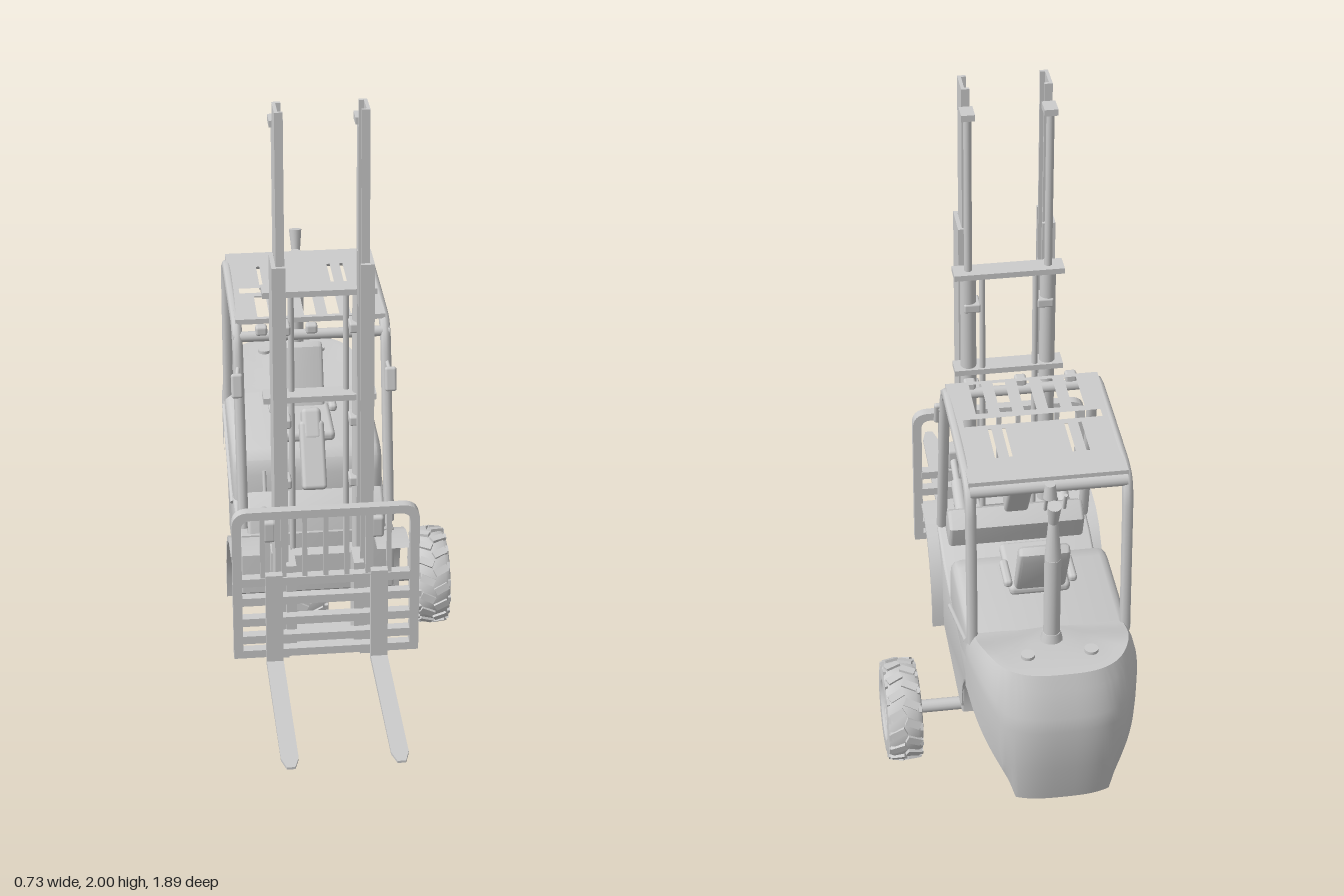
import * as THREE from 'three';
import { toCreasedNormals } from 'three/addons/utils/BufferGeometryUtils.js';
import { RoundedBoxGeometry } from 'three/addons/geometries/RoundedBoxGeometry.js';

const mat = new THREE.MeshStandardMaterial({ color: 0xcccccc });
const matDouble = new THREE.MeshStandardMaterial({ color: 0xcccccc, side: THREE.DoubleSide });
const V = (x, y, z) => new THREE.Vector3(x, y, z);

function add(parent, name, geo, x = 0, y = 0, z = 0, m = mat) {
  const mesh = new THREE.Mesh(geo, m);
  mesh.name = name;
  mesh.position.set(x, y, z);
  parent.add(mesh);
  return mesh;
}
// box given by its ranges on each axis
const box = (p, name, [x0, x1], [y0, y1], [z0, z1]) =>
  add(p, name, new THREE.BoxGeometry(x1 - x0, y1 - y0, z1 - z0), (x0 + x1) / 2, (y0 + y1) / 2, (z0 + z1) / 2);
const soft = (p, name, w, h, d, x, y, z, r) => add(p, name, new RoundedBoxGeometry(w, h, d, 3, r), x, y, z);
// cylinder between two points
function rod(p, name, a, b, r, r2 = r) {
  const mesh = add(p, name, new THREE.CylinderGeometry(r2, r, a.distanceTo(b), 16));
  mesh.position.copy(a).lerp(b, 0.5);
  mesh.quaternion.setFromUnitVectors(V(0, 1, 0), b.clone().sub(a).normalize());
  return mesh;
}
// side profile of [z, y] points, extruded across x
function sideProfile(p, name, pts, x0, x1, bevel = 0) {
  const geo = new THREE.ExtrudeGeometry(new THREE.Shape(pts.map(q => new THREE.Vector2(...q))), {
    depth: x1 - x0 - 2 * bevel, bevelEnabled: bevel > 0, bevelSize: bevel, bevelOffset: -bevel,
    bevelThickness: bevel, bevelSegments: 3 });
  geo.rotateY(-Math.PI / 2).translate(x1 - bevel, 0, 0);
  return add(p, name, toCreasedNormals(geo, 0.6));
}
function gridGeometry(rows) {
  const n = rows[0].length, index = [];
  for (let i = 0; i < rows.length - 1; i++)
    for (let j = 0; j < n - 1; j++) {
      const a = i * n + j;
      index.push(a, a + n, a + 1, a + 1, a + n, a + n + 1);
    }
  const geo = new THREE.BufferGeometry().setFromPoints(rows.flat());
  geo.setIndex(index);
  return toCreasedNormals(geo, 0.5);
}
// lower edge of the bodywork, following the rear wheel arch
function archY(z) {
  const t = (z + 0.68) / 0.205;
  return 0.305 + 0.205 * Math.sqrt(Math.max(0, 1 - t * t));
}

function counterweight(p) {
  const topY = z => 0.69 + 0.065 * THREE.MathUtils.smoothstep(-z, 0.58, 0.8);
  // [height fraction, x scale, z scale]
  const levels = [[0, 1, 0.89], [0.3, 1, 0.97], [0.62, 1, 1], [0.72, 0.99, 0.985], [0.9, 0.95, 0.91],
    [1, 0.9, 0.86], [1, 0.8, 0.8], [1, 0.4, 0.4], [1, 0, 0]];
  const pw = v => Math.sign(v) * Math.abs(v) ** (2 / 3);
  const rows = levels.map(([f, sx, sz]) => Array.from({ length: 73 }, (_, i) => {
    const a = i / 72 * Math.PI, z = -0.6 - 0.345 * sz * pw(Math.sin(a));
    const y0 = archY(z);
    return V(0.24 * sx * pw(Math.cos(a)), y0 + (topY(z) - y0) * f, z);
  }));
  add(p, 'counterweight', gridGeometry(rows), 0, 0, 0, matDouble);
  // wheel arch roof and underside
  const under = [1, -1].map(s => Array.from({ length: 41 }, (_, i) => {
    const z = -0.475 - 0.43 * i / 40, t = Math.max(0, (-0.6 - z) / 0.307);
    return V(s * 0.235 * Math.cbrt(Math.max(0, 1 - t ** 3)), archY(z), z);
  }));
  add(p, 'rearWheelArch', gridGeometry(under), 0, 0, 0, matDouble);
  box(p, 'rearChassis', [-0.1, 0.1], [0.31, 0.6], [-0.87, -0.45]);
  for (const s of [1, -1]) rod(p, 'fillerCap', V(s * 0.09, 0.75, -0.8), V(s * 0.09, 0.76, -0.8), 0.02);
  // exhaust stack
  rod(p, 'exhaustBase', V(0.01, 0.74, -0.72), V(0.01, 0.77, -0.72), 0.032, 0.026);
  rod(p, 'exhaustMuffler', V(0.01, 0.77, -0.72), V(0.01, 1.03, -0.72), 0.024);
  rod(p, 'exhaustPipe', V(0.01, 1.03, -0.72), V(0.01, 1.15, -0.715), 0.024, 0.014);
  rod(p, 'exhaustTip', V(0.01, 1.15, -0.715), V(0.01, 1.215, -0.73), 0.014, 0.02);
}

function bodywork(p) {
  const arch = Array.from({ length: 9 }, (_, i) => -0.475 - 0.145 * i / 8).map(z => [z, archY(z)]);
  sideProfile(p, 'mainBody', [[0.1, 0.37], [0.04, 0.33], [-0.06, 0.28], [-0.475, 0.28], ...arch,
    [-0.62, 0.62], [-0.2, 0.52], [-0.07, 0.53], [0, 0.555], [0.1, 0.57]].reverse(), -0.235, 0.235, 0.008);
  sideProfile(p, 'engineHood', [[-0.2, 0.5], [-0.205, 0.61], [-0.22, 0.655], [-0.25, 0.68], [-0.3, 0.69],
    [-0.63, 0.695], [-0.63, 0.5]], -0.235, 0.235, 0.03);
  // front fenders: thin arched sheets
  const arc = [[0.19, 0.57], [0.1, 0.565], [0.04, 0.54], [-0.01, 0.49], [-0.045, 0.42], [-0.06, 0.35], [-0.065, 0.28]];
  const inner = arc.map(([z, y]) => [z + 0.013, y - 0.01]).reverse();
  for (const s of [1, -1]) {
    sideProfile(p, 'frontFender', [...arc, ...inner], s > 0 ? 0.17 : -0.27, s > 0 ? 0.27 : -0.17);
    rod(p, 'sideTrim', V(s * 0.236, 0.66, -0.6), V(s * 0.236, 0.5, -0.24), 0.008);
    rod(p, 'tiltCylinder', V(s * 0.16, 0.62, 0.05), V(s * 0.16, 0.665, 0.16), 0.02);
    rod(p, 'tiltRod', V(s * 0.16, 0.66, 0.15), V(s * 0.16, 0.69, 0.26), 0.011);
    soft(p, 'tiltBracket', 0.04, 0.07, 0.06, s * 0.16, 0.69, 0.27, 0.01);
    add(p, 'mastHinge', new THREE.TorusGeometry(0.037, 0.017, 10, 24), s * 0.13, 0.365, 0.13).rotation.y = Math.PI / 2;
    box(p, 'hingeArm', [s * 0.13 - 0.015, s * 0.13 + 0.015], [0.4, 0.54], [0.1, 0.16]);
  }
  // dashboard, steering console and levers
  sideProfile(p, 'dashboard', [[0.09, 0.55], [0.07, 0.63], [0.01, 0.67], [-0.04, 0.63], [-0.01, 0.54]], -0.21, 0.21, 0.012);
  const con = soft(p, 'steeringConsole', 0.075, 0.21, 0.055, 0, 0.76, -0.04, 0.012);
  con.rotation.x = -0.55;
  const head = soft(p, 'steeringHead', 0.06, 0.1, 0.06, 0, 0.84, -0.09, 0.015);
  head.rotation.x = -0.55;
  for (let i = 0; i < 3; i++) rod(p, 'lever', V(-0.09 - i * 0.03, 0.64, 0), V(-0.09 - i * 0.03, 0.72, -0.03), 0.006);
  // seat
  soft(p, 'seatCushion', 0.18, 0.035, 0.22, 0, 0.713, -0.355, 0.015);
  sideProfile(p, 'seatBack', [[-0.425, 0.71], [-0.5, 0.905], [-0.52, 0.915], [-0.54, 0.9], [-0.535, 0.87],
    [-0.47, 0.73], [-0.45, 0.705]], -0.075, 0.075, 0.012);
  for (const s of [1, -1]) soft(p, 'armrest', 0.025, 0.025, 0.11, s * 0.095, 0.75, -0.42, 0.01);
}

function overheadGuard(p) {
  const path = [[0.065, 0.58], [-0.045, 1.1], [-0.075, 1.165], [-0.13, 1.188], [-0.5, 1.19], [-0.57, 1.17],
    [-0.595, 1.1], [-0.62, 0.67]];
  for (const s of [1, -1]) {
    const curve = new THREE.CatmullRomCurve3(path.map(([z, y]) => V(s * 0.222, y, z)), false, 'catmullrom', 0.25);
    add(p, 'guardPillar', new THREE.TubeGeometry(curve, 90, 0.016, 8));
    const m = soft(p, 'mirror', 0.035, 0.075, 0.018, s * 0.23, 1.035, 0.015, 0.008);
    m.rotation.x = -0.2;
    rod(p, 'mirrorArm', V(s * 0.222, 1.08, -0.04), V(s * 0.23, 1.05, 0.01), 0.006);
  }
  // slotted roof panel
  const rect = (T, x0, x1, z0, z1) => {
    const q = new T();
    q.moveTo(x0, -z0); q.lineTo(x1, -z0); q.lineTo(x1, -z1); q.lineTo(x0, -z1); q.closePath();
    return q;
  };
  const roof = rect(THREE.Shape, -0.225, 0.225, -0.58, -0.085);
  for (let i = -2; i <= 2; i++) roof.holes.push(rect(THREE.Path, i * 0.07 - 0.018, i * 0.07 + 0.018, -0.25, -0.1));
  roof.holes.push(rect(THREE.Path, -0.2, 0.2, -0.31, -0.275));
  for (const x of [-0.13, -0.09, 0.09, 0.13])
    roof.holes.push(rect(THREE.Path, x - 0.005, x + 0.005, -0.47, -0.33));
  add(p, 'roofPanel', new THREE.ExtrudeGeometry(roof, { depth: 0.016, bevelEnabled: false }).rotateX(-Math.PI / 2), 0, 1.188, 0);
  rod(p, 'frontCrossbar', V(-0.235, 1.155, -0.07), V(0.235, 1.155, -0.07), 0.016);
  rod(p, 'rearCrossbar', V(-0.222, 1.172, -0.575), V(0.222, 1.172, -0.575), 0.02);
  for (const x of [-0.15, 0, 0.15]) soft(p, 'workLight', 0.035, 0.03, 0.03, x, 1.18, -0.06, 0.008);
  rod(p, 'beacon', V(0, 1.15, -0.602), V(0, 1.195, -0.602), 0.02, 0.015);
}

// C-shaped rail with its web on the outside
function channel(p, name, s, [x0, x1], [z0, z1], [y0, y1], t) {
  const X = (a, b) => s > 0 ? [a, b] : [-b, -a];
  box(p, name, X(x1 - t, x1), [y0, y1], [z0, z1]);
  box(p, name, X(x0, x1 - t), [y0, y1], [z0, z0 + t]);
  box(p, name, X(x0, x1 - t), [y0, y1], [z1 - t, z1]);
}

function mast(p) {
  for (const s of [1, -1]) {
    channel(p, 'outerRail', s, [0.106, 0.145], [0.21, 0.32], [0.27, 1.545], 0.012);
    channel(p, 'innerRail', s, [0.108, 0.132], [0.22, 0.307], [0.29, 2], 0.01);
    rod(p, 'liftBarrel', V(s * 0.12, 0.28, 0.182), V(s * 0.12, 1.4, 0.182), 0.024);
    rod(p, 'liftRod', V(s * 0.12, 1.4, 0.182), V(s * 0.12, 1.93, 0.182), 0.012);
    box(p, 'rodCap', s > 0 ? [0.1, 0.14] : [-0.14, -0.1], [1.925, 1.945], [0.165, 0.22]);
    rod(p, 'hose', V(s * 0.08, 0.5, 0.165), V(s * 0.08, 1.4, 0.165), 0.009);
    for (const y of [0.55, 0.8, 1, 1.3]) soft(p, 'railClamp', 0.05, 0.03, 0.06, s * 0.11, y, 0.185, 0.006);
  }
  for (const y of [1.413, 1.077]) {
    box(p, 'mastCrossbar', [-0.165, 0.165], [y - 0.009, y + 0.009], [0.15, 0.21]);
  }
  box(p, 'mastFoot', [-0.145, 0.145], [0.27, 0.3], [0.16, 0.31]);
  box(p, 'mastLowerBeam', [-0.11, 0.11], [0.5, 0.56], [0.17, 0.215]);
}

function carriage(p) {
  // load backrest: rounded outline with an opening
  const outline = (T, w, y0, y1, r) => {
    const q = new T();
    q.moveTo(-w, y0); q.lineTo(w, y0); q.lineTo(w, y1 - r); q.quadraticCurveTo(w, y1, w - r, y1);
    q.lineTo(r - w, y1); q.quadraticCurveTo(-w, y1, -w, y1 - r); q.closePath();
    return q;
  };
  const frame = outline(THREE.Shape, 0.275, 0.31, 0.802, 0.05);
  frame.holes.push(outline(THREE.Path, 0.248, 0.335, 0.776, 0.03));
  add(p, 'backrestFrame', toCreasedNormals(new THREE.ExtrudeGeometry(frame, { depth: 0.03, bevelEnabled: false }), 0.6), 0, 0, 0.345);
  for (let i = -3; i <= 3; i++) box(p, 'backrestBar', [i * 0.062 - 0.007, i * 0.062 + 0.007], [0.57, 0.78], [0.352, 0.368]);
  for (const y of [0.37, 0.43, 0.5, 0.565]) box(p, 'carriageBar', [-0.25, 0.25], [y - 0.013, y + 0.013], [0.342, 0.372]);
  for (const s of [1, -1]) {
    const X = (a, b) => s > 0 ? [a, b] : [-b, -a];
    box(p, 'carriageGuide', X(0.085, 0.115), [0.33, 0.6], [0.25, 0.345]);
    // fork: upright shank and tapered blade
    box(p, 'forkShank', X(0.13, 0.18), [0.295, 0.6], [0.372, 0.397]);
    const blade = new THREE.Shape([[-0.025, -0.375], [0.025, -0.375], [0.025, -0.9], [0.012, -0.945], [-0.012, -0.945],
      [-0.025, -0.9]].map(q => new THREE.Vector2(...q)).reverse());
    const geo = new THREE.ExtrudeGeometry(blade, { depth: 0.016, bevelEnabled: false }).rotateX(-Math.PI / 2);
    const pos = geo.attributes.position;
    for (let i = 0; i < pos.count; i++)
      if (pos.getY(i) < 0.008) pos.setY(i, 0.011 * (pos.getZ(i) - 0.375) / 0.57 - 0.002);
    geo.computeVertexNormals();
    add(p, 'forkBlade', geo, s * 0.155, 0.292, 0);
  }
}

function wheel(p, name, x, y, z, r, w) {
  const g = new THREE.Group();
  g.name = name;
  g.position.set(x, y, z);
  p.add(g);
  // half profile [radius, offset], mirrored to the other side
  const half = [[0, 0.36], [0.18, 0.36], [0.2, 0.28], [0.42, 0.26], [0.5, 0.4], [0.56, 0.42], [0.6, 0.48],
    [0.76, 0.5], [0.88, 0.46], [0.94, 0.34], [0.955, 0]];
  const pts = [...half.map(([a, b]) => [a, -b]), ...half.slice(0, -1).reverse()];
  const geo = new THREE.LatheGeometry(pts.map(([a, b]) => new THREE.Vector2(a * r, b * w)), 48).rotateZ(Math.PI / 2);
  add(g, 'tyreAndRim', toCreasedNormals(geo, 0.6));
  for (const s of [1, -1]) for (let i = 0; i < 16; i++) {
    const spoke = new THREE.Group();
    spoke.name = 'treadLug';
    spoke.rotation.x = (i + (s > 0 ? 0.5 : 0)) / 16 * Math.PI * 2;
    g.add(spoke);
    add(spoke, 'lug', new THREE.BoxGeometry(w * 0.42, r * 0.1, r * 0.15), s * w * 0.2, r * 0.945, 0).rotation.set(0, s * 0.45, -s * 0.1);
    add(spoke, 'shoulderLug', new THREE.BoxGeometry(w * 0.08, r * 0.17, r * 0.13), s * w * 0.43, r * 0.86, -0.1 * r);
    if (i % 2) add(spoke, 'wheelBolt', new THREE.CylinderGeometry(r * 0.03, r * 0.03, w * 0.06, 8).rotateZ(Math.PI / 2), s * w * 0.29, r * 0.31, 0);
  }
}

export function createModel() {
  const model = new THREE.Group();
  model.name = 'forklift';
  const truck = new THREE.Group();
  truck.name = 'truck';
  truck.position.x = -0.09;
  model.add(truck);
  for (const build of [counterweight, bodywork, overheadGuard, mast, carriage]) build(truck);
  // loose axle with two wheels, set to one side of the truck
  const axle = new THREE.Group();
  axle.name = 'wheelAxle';
  model.add(axle);
  wheel(axle, 'innerWheel', -0.1, 0.164, -0.302, 0.163, 0.14);
  wheel(axle, 'outerWheel', 0.31, 0.164, -0.302, 0.156, 0.11);
  rod(axle, 'axleShaft', V(-0.1, 0.165, -0.302), V(0.31, 0.165, -0.302), 0.02);
  return model;
}
